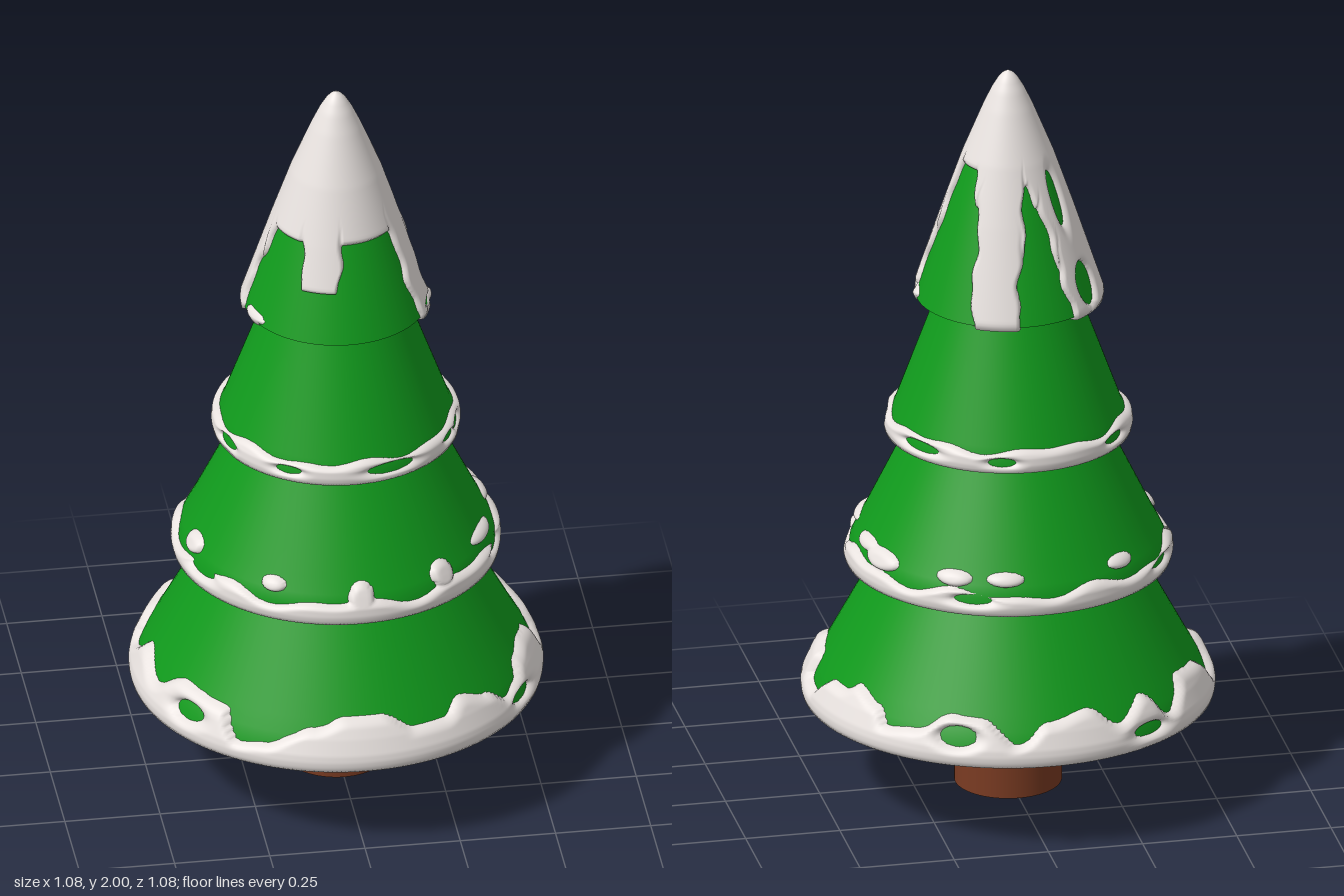
import * as THREE from 'three';

const GREEN = new THREE.MeshStandardMaterial({ color: 0x109a1c });
const BROWN = new THREE.MeshStandardMaterial({ color: 0x7a3b22 });
const SNOW = new THREE.MeshStandardMaterial({ color: 0xe8e2df, side: THREE.DoubleSide });
const RAD = Math.PI / 180;
const clamp01 = (v) => Math.min(1, Math.max(0, v));

// Smooth periodic curve through [degrees, height] points
function edgeCurve(points) {
  const last = points[points.length - 1];
  const all = [[last[0] - 360, last[1]], ...points, [points[0][0] + 360, points[0][1]]];
  return (deg) => {
    const d = ((deg + 540) % 360) - 180;
    let k = 0;
    while (k < all.length - 2 && all[k + 1][0] < d) k++;
    const [a, ya] = all[k], [b, yb] = all[k + 1];
    const t = clamp01((d - a) / (b - a));
    return ya + (yb - ya) * t * t * (3 - 2 * t);
  };
}

// Radius at a height, from [height, radius] points
function profileAt(profile, y) {
  let k = 0;
  while (k < profile.length - 2 && profile[k + 1][0] < y) k++;
  const [ya, ra] = profile[k], [yb, rb] = profile[k + 1];
  return ra + (rb - ra) * (y - ya) / (yb - ya);
}

// Signed distance (positive inside) to an ellipse lying on the tier: [degrees, height, halfWidth, halfHeight]
function ellipse([deg, cy, a, b], d, y, r) {
  const dx = ((((d - deg) % 360) + 540) % 360 - 180) * RAD * r;
  return (1 - Math.hypot(dx / a, (y - cy) / b)) * Math.min(a, b);
}

// Foliage: smooth turned skirt closed by a flat underside
function foliage(name, profile) {
  const group = new THREE.Group();
  group.name = name;
  const points = profile.filter(([, r]) => r > 0).map(([y, r]) => new THREE.Vector2(r, y));
  const underside = new THREE.Mesh(new THREE.CircleGeometry(points[0].x, 96), GREEN);
  underside.rotation.x = Math.PI / 2;
  underside.position.y = points[0].y;
  group.add(new THREE.Mesh(new THREE.LatheGeometry(points, 96), GREEN), underside);
  return group;
}

// Snow layer: the tier surface raised where the mask is positive, dropped where it is not
function snowLayer(name, { profile, top, rows, edge, sign = 1, wobble = 0, thick, holes = [], blobs = [] }) {
  const segs = 288, sunk = 0.01, soft = thick * 1.1, y0 = profile[0][0];
  const pos = [], cover = [], index = [];
  for (let j = -1; j <= rows; j++) {
    const y = y0 + (top - y0) * Math.max(j, 0) / rows;
    const r = profileAt(profile, y);
    for (let i = 0; i < segs; i++) {
      const deg = i * 360 / segs, a = deg * RAD;
      const e = deg + wobble * (Math.sin(y * 31) + 0.6 * Math.sin(y * 67 + a * 3));
      const slope = (edge(e + 1) - edge(e - 1)) / (2 * RAD * Math.max(r, 0.16));
      let d = sign * (edge(e) - y) / Math.hypot(1, slope);
      for (const b of blobs) d = Math.max(d, ellipse(b, deg, y, r));
      for (const h of holes) d = Math.min(d, -ellipse(h, deg, y, r));
      const s = clamp01(d / soft + 0.08);
      // rounded lip along the bottom rim
      const lip = 0.6 + 0.4 * Math.sqrt(clamp01((y - y0) / thick));
      let h = -sunk + (thick + sunk) * Math.sqrt(1 - (1 - s) ** 2);
      if (h > 0) h *= lip;
      if (j < 0) h = -0.02;
      const R = Math.max(0, r + h);
      pos.push(R * Math.sin(a), j <= 0 ? y0 - 0.007 : y, R * Math.cos(a));
      cover.push(s);
    }
  }
  for (let j = 0; j <= rows; j++) {
    for (let i = 0; i < segs; i++) {
      const n = (i + 1) % segs;
      const a = j * segs + i, b = j * segs + n, c = a + segs, e = b + segs;
      if (cover[a] + cover[b] + cover[c] + cover[e] > 0) index.push(a, b, e, a, e, c);
    }
  }
  const geo = new THREE.BufferGeometry();
  geo.setAttribute('position', new THREE.Float32BufferAttribute(pos, 3));
  geo.setIndex(index);
  geo.computeVertexNormals();
  const mesh = new THREE.Mesh(geo, SNOW);
  mesh.name = name;
  return mesh;
}

export function createModel() {
  const tree = new THREE.Group();
  tree.name = 'snowyTree';

  const trunk = new THREE.Mesh(new THREE.CylinderGeometry(0.14, 0.14, 0.3, 64), BROWN);
  trunk.position.y = 0.15;
  trunk.name = 'trunk';
  tree.add(trunk);

  // Bottom tier: thick wavy snow on the rim
  const bottom = [[0.262, 0.522], [0.3, 0.514], [0.34, 0.496], [0.38, 0.473], [0.64, 0.334], [0.72, 0.292]];
  tree.add(foliage('bottomFoliage', bottom), snowLayer('bottomSnow', {
    profile: bottom, top: 0.41, rows: 34, thick: 0.021, wobble: 1,
    edge: edgeCurve([
      [-168, 0.38], [-157, 0.33], [-148, 0.38], [-137, 0.31], [-128, 0.38], [-115, 0.37],
      [-103, 0.3], [-90, 0.37], [-76, 0.33], [-64, 0.38], [-46, 0.37], [-38, 0.3], [-30, 0.31],
      [-17, 0.36], [-6, 0.385], [6, 0.385], [14, 0.345], [24, 0.345], [33, 0.38], [43, 0.355],
      [50, 0.315], [57, 0.33], [63, 0.37], [71, 0.385], [81, 0.375], [86, 0.31], [93, 0.305],
      [100, 0.36], [107, 0.36], [114, 0.385], [123, 0.36], [130, 0.32], [138, 0.33],
      [150, 0.375], [160, 0.37], [170, 0.31], [180, 0.36],
    ]),
    holes: [[-57, 0.322, 0.05, 0.022], [59, 0.292, 0.05, 0.016], [153, 0.325, 0.05, 0.025], [-147, 0.295, 0.05, 0.016]],
  }));

  // Second tier: thin band with loose patches above it
  const lower = [[0.643, 0.415], [0.68, 0.411], [0.71, 0.397], [0.75, 0.376], [1.0, 0.255], [1.06, 0.228]];
  tree.add(foliage('lowerMiddleFoliage', lower), snowLayer('lowerMiddleSnow', {
    profile: lower, top: 0.765, rows: 34, thick: 0.016,
    edge: (d) => 0.687 + 0.009 * Math.sin(d * RAD * 7 + 2) + 0.006 * Math.sin(d * RAD * 13),
    holes: [[-66, 0.682, 0.05, 0.013], [72, 0.668, 0.05, 0.011], [155, 0.675, 0.05, 0.012], [-120, 0.668, 0.05, 0.01]],
    blobs: [
      [-77, 0.72, 0.045, 0.025], [-33, 0.722, 0.036, 0.019], [1, 0.7, 0.035, 0.042],
      [35, 0.712, 0.037, 0.033], [66, 0.726, 0.07, 0.017], [99, 0.727, 0.06, 0.018],
      [112, 0.714, 0.07, 0.025], [147, 0.722, 0.05, 0.02], [167, 0.725, 0.05, 0.018],
      [-144, 0.725, 0.045, 0.018],
    ],
  }));

  // Third tier: thin band with long slots
  const upper = [[1.003, 0.313], [1.035, 0.309], [1.06, 0.296], [1.365, 0.185], [1.42, 0.166]];
  tree.add(foliage('upperMiddleFoliage', upper), snowLayer('upperMiddleSnow', {
    profile: upper, top: 1.075, rows: 24, thick: 0.013,
    edge: (d) => 1.05 + 0.005 * Math.sin(d * RAD * 6 + 1) + 0.004 * Math.sin(d * RAD * 11),
    holes: [
      [-32, 1.024, 0.034, 0.01], [19, 1.026, 0.065, 0.013], [74, 1.026, 0.035, 0.015],
      [60, 1.024, 0.03, 0.01], [121, 1.027, 0.06, 0.012], [-72, 1.022, 0.04, 0.014],
      [165, 1.022, 0.035, 0.011], [-130, 1.024, 0.04, 0.011],
    ],
  }));

  // Top tier: pointed cap whose drips run down to the rim
  const cap = [[1.372, 0.24], [1.62, 0.158], [1.77, 0.106], [1.9, 0.053], [1.95, 0.03], [1.98, 0.012], [1.993, 0], [2, -0.013]];
  tree.add(foliage('topFoliage', cap), snowLayer('snowCap', {
    profile: cap, top: 2, rows: 84, sign: -1, thick: 0.013, wobble: 1.6,
    edge: edgeCurve([
      [-172, 1.72], [-160, 1.66], [-151, 1.5], [-146, 1.3], [-92, 1.3], [-87, 1.52], [-78, 1.62],
      [-42, 1.62], [-35, 1.5], [-8, 1.5], [-2, 1.625], [48, 1.625], [60, 1.3], [74, 1.3],
      [82, 1.55], [92, 1.75], [122, 1.75], [136, 1.66], [148, 1.3], [172, 1.3], [180, 1.55],
    ]),
    holes: [[-128, 1.44, 0.037, 0.055], [-134, 1.67, 0.018, 0.07], [73, 1.388, 0.022, 0.009]],
    blobs: [[82, 1.384, 0.035, 0.014], [-72, 1.385, 0.05, 0.014]],
  }));

  return tree;
}
